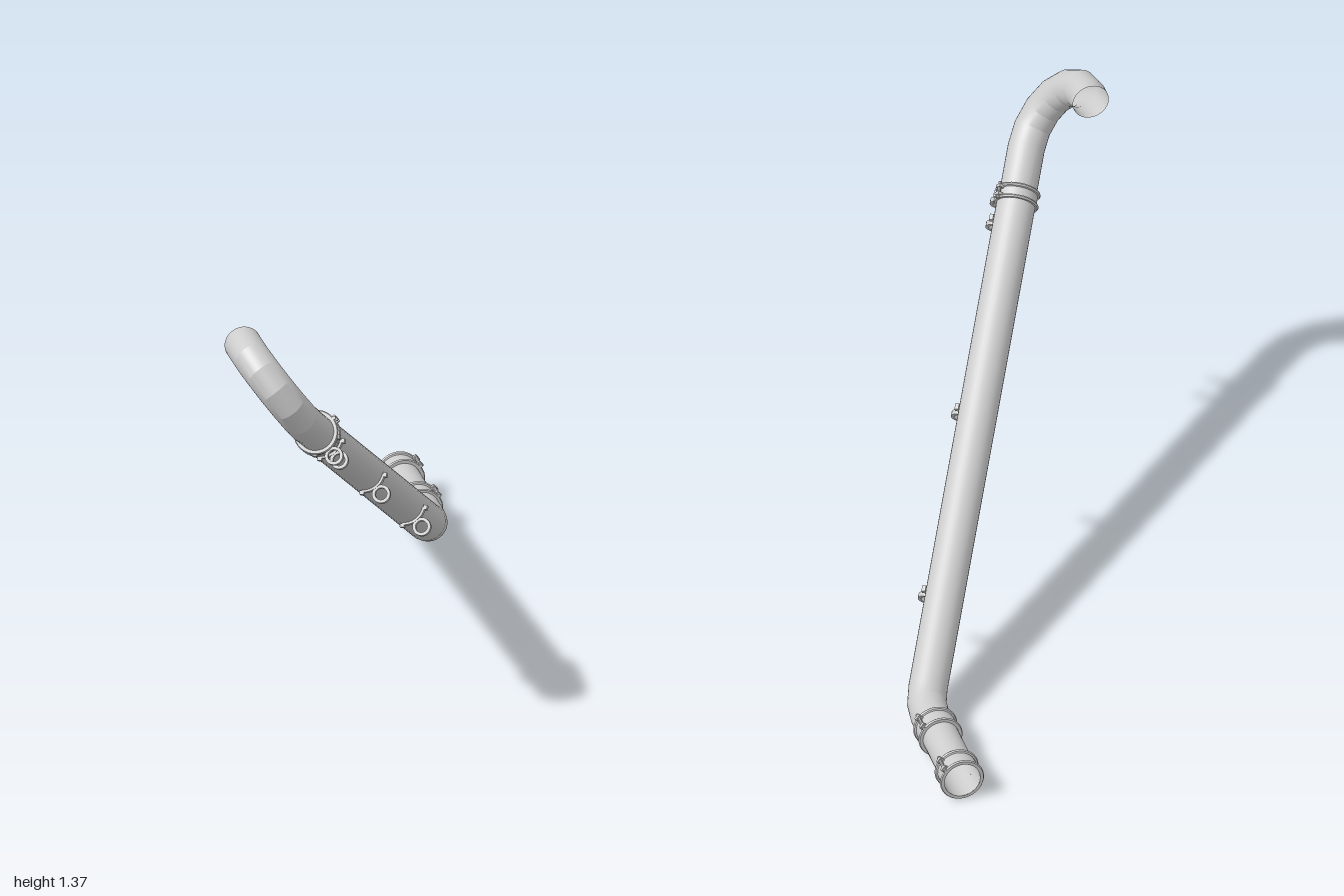
import * as THREE from 'three';
import { toCreasedNormals } from 'three/addons/utils/BufferGeometryUtils.js';

const V = (x, y, z) => new THREE.Vector3(x, y, z);
const material = new THREE.MeshStandardMaterial({ color: 0xcccccc, side: THREE.DoubleSide });

// The pipe run lies in one slanted plane: u goes down the slope, z goes to the front
const P = (u, z) => V(-0.463 + 0.591 * u, 1.313 - 0.807 * u, z);
const SIDE = V(0.807, 0.591, 0).normalize();          // normal of that plane
const slopeZ = u => 1.216 - 1.161 * u;                // straight middle run
const RUN = P(1, slopeZ(1)).sub(P(0, slopeZ(0))).normalize();
const UNDER = V(0.448, -0.612, 0.653).normalize();    // underside of the middle run
const BEND = 2.431;                                   // angle of the hook
const U_END = 1.537;                                  // u of the rear run

function mesh(name, geometry) {
  const m = new THREE.Mesh(geometry, material);
  m.name = name;
  return m;
}

// Open round pipe with mitred joints along planar points
function pipe(name, points, r, sides = 32) {
  const pos = [], index = [], n = points.length;
  points.forEach((p, i) => {
    const a = points[Math.max(i - 1, 0)], b = points[Math.min(i + 1, n - 1)];
    const tIn = (i ? p.clone().sub(a) : b.clone().sub(p)).normalize();
    const tOut = (i < n - 1 ? b.clone().sub(p) : p.clone().sub(a)).normalize();
    const t = tIn.clone().add(tOut).normalize();
    const across = t.clone().cross(SIDE).normalize();
    const mitre = 1 / t.dot(tIn);
    for (let j = 0; j < sides; j++) {
      const q = j / sides * Math.PI * 2;
      pos.push(...p.clone().addScaledVector(SIDE, r * Math.cos(q))
        .addScaledVector(across, -r * mitre * Math.sin(q)).toArray());
      if (i < n - 1) {
        const k = i * sides, j2 = (j + 1) % sides;
        const A = k + j, B = k + j2, C = A + sides, D = B + sides;
        index.push(A, B, C, B, D, C);
      }
    }
  });
  const g = new THREE.BufferGeometry();
  g.setAttribute('position', new THREE.Float32BufferAttribute(pos, 3));
  g.setIndex(index);
  return mesh(name, toCreasedNormals(g, 0.3));
}

// Put a group on the pipe: its z follows the pipe, its x points outwards
function place(group, at, along, out) {
  const y = along.clone().cross(out).normalize();
  group.quaternion.setFromRotationMatrix(new THREE.Matrix4().makeBasis(out, y, along));
  group.position.copy(at);
  return group;
}

// Band clamp with two raised rims, lugs and a bolt
function clamp(name, w) {
  const g = new THREE.Group();
  g.name = name;
  const half = [[0.058, w], [0.068, w], [0.071, w - 0.005], [0.068, w - 0.01], [0.063, w - 0.012]];
  const profile = [...half.map(([r, y]) => new THREE.Vector2(r, -y)),
    ...half.reverse().map(([r, y]) => new THREE.Vector2(r, y))];
  const band = new THREE.LatheGeometry(profile, 32).rotateX(Math.PI / 2);
  g.add(mesh('clampBand', toCreasedNormals(band, 0.5)));
  const bolt = mesh('clampBolt', toCreasedNormals(
    new THREE.CylinderGeometry(0.006, 0.006, w * 2.2, 10).rotateX(Math.PI / 2), 0.8));
  bolt.position.x = 0.072;
  g.add(bolt);
  for (const s of [-1, 1]) {
    const lug = mesh('clampLug', new THREE.BoxGeometry(0.018, 0.02, 0.01));
    lug.position.set(0.07, 0, s * (w - 0.012));
    g.add(lug);
  }
  return g;
}

// Hanger: curved saddle against the pipe with an eye below it
function hanger(name) {
  const g = new THREE.Group();
  g.name = name;
  const spread = 0.72, s = new THREE.Shape();
  s.absarc(0, 0, 0.068, -spread, spread, false);
  s.absarc(0, 0, 0.059, spread, -spread, true);
  const saddle = new THREE.ExtrudeGeometry(s, { depth: 0.02, bevelEnabled: false, curveSegments: 12 });
  g.add(mesh('hangerSaddle', toCreasedNormals(saddle.translate(0, 0, -0.01), 0.5)));
  // Turned-out ends of the saddle
  for (const k of [-1, 1]) {
    const ear = mesh('hangerEar', new THREE.BoxGeometry(0.012, 0.014, 0.02));
    ear.position.set(0.069 * Math.cos(spread), k * 0.069 * Math.sin(spread), 0);
    ear.rotation.z = k * spread;
    g.add(ear);
  }
  const eye = new THREE.Shape().absarc(0, 0, 0.029, 0, Math.PI * 2, false);
  eye.holes.push(new THREE.Path().absarc(0, 0, 0.019, 0, Math.PI * 2, true));
  const ring = new THREE.ExtrudeGeometry(eye, { depth: 0.016, bevelEnabled: false, curveSegments: 10 });
  const eyeMesh = mesh('hangerEye', toCreasedNormals(ring.translate(0, 0, -0.008), 0.7));
  eyeMesh.position.x = 0.093;
  g.add(eyeMesh);
  return g;
}

export function createModel() {
  const model = new THREE.Group();
  model.name = 'pipeRun';

  // Hooked upper pipe
  const R = 0.163, z0 = 0.777, hook = [P(0, 0.745)];
  for (let i = 0; i <= 6; i++) {
    const a = BEND * i / 6;
    hook.push(P(R * (1 - Math.cos(a)), z0 + R * Math.sin(a)));
  }
  hook.push(P(0.42, slopeZ(0.42)));
  model.add(pipe('upperHookPipe', hook, 0.058));

  // Long sloping pipe and its lower elbow
  const corner = slopeZ(U_END);
  const elbow = P(U_END, corner), inPt = elbow.clone().addScaledVector(RUN, -0.06);
  const outPt = P(U_END, corner - 0.06);
  const mid = inPt.clone().add(outPt).multiplyScalar(0.25).addScaledVector(elbow, 0.5);
  model.add(pipe('mainPipe', [P(0.39, slopeZ(0.39)), inPt, mid, outPt, P(U_END, -0.72)], 0.061));

  // Rear outlet
  model.add(pipe('rearPipe', [P(U_END, -0.7), P(U_END, -0.998)], 0.058));

  // Clamps
  const back = V(0, 0, -1), boltSide = V(0.77, 0.64, 0).normalize();
  model.add(place(clamp('rearJointClamp', 0.036), P(U_END, -0.718), back, boltSide));
  model.add(place(clamp('rearEndClamp', 0.036), P(U_END, -0.962), back, boltSide));
  model.add(place(clamp('upperClamp', 0.025), P(0.4, slopeZ(0.4)), RUN, SIDE));

  // Hangers under the sloping run
  for (const u of [0.395, 0.447, 0.872, 1.28])
    model.add(place(hanger('hanger'), P(u, slopeZ(u)), RUN, UNDER));

  return model;
}
